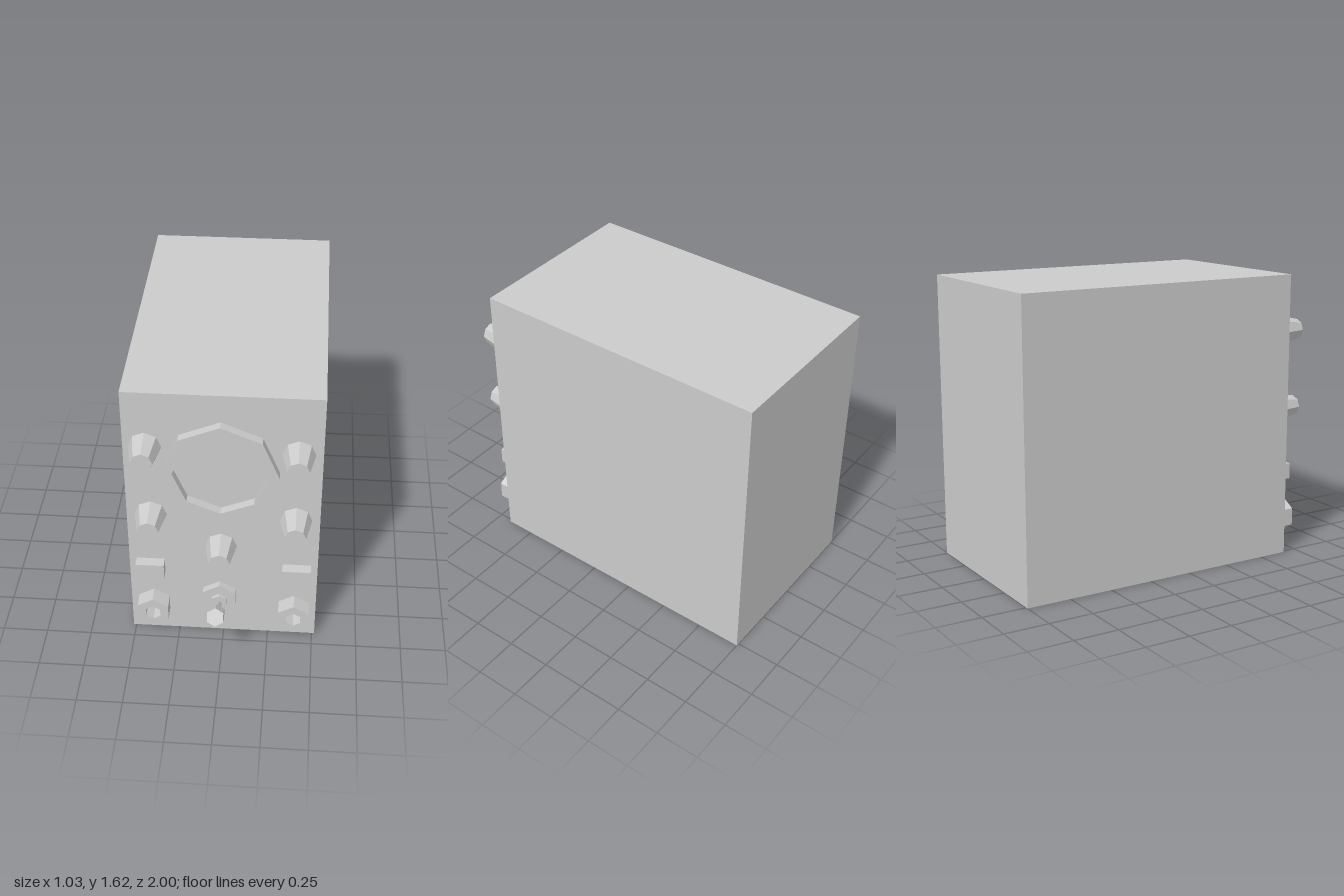
import * as THREE from 'three';

const FACE = 0.665; // z of the front panel

export function createModel() {
  const model = new THREE.Group();
  const material = new THREE.MeshStandardMaterial({ color: 0xcccccc, flatShading: true });

  const add = (name, geometry, x, y, z) => {
    const mesh = new THREE.Mesh(geometry, material);
    mesh.name = name;
    mesh.position.set(x, y, z);
    model.add(mesh);
    return mesh;
  };

  // Faceted cylinder standing on the front panel, pointing to +z
  const stud = (name, x, y, rFront, rBack, depth, sides) => {
    const g = new THREE.CylinderGeometry(rFront, rBack, depth, sides).rotateX(Math.PI / 2);
    return add(name, g, x, y, FACE + depth / 2);
  };

  // Regular polygon with one corner pointing up
  const polygon = (radius, sides, PathType) => {
    const points = [];
    for (let i = 0; i < sides; i++) {
      const a = Math.PI / 2 + (i / sides) * Math.PI * 2;
      points.push(new THREE.Vector2(radius * Math.cos(a), radius * Math.sin(a)));
    }
    return new PathType(points);
  };

  // Polygonal ring raised from the front panel
  const ring = (name, x, y, outer, inner, depth, sides) => {
    const shape = polygon(outer, sides, THREE.Shape);
    shape.holes.push(polygon(inner, sides, THREE.Path));
    return add(name, new THREE.ExtrudeGeometry(shape, { depth, bevelEnabled: false }), x, y, FACE);
  };

  // Cabinet
  add('cabinet', new THREE.BoxGeometry(1.03, 1.615, FACE + 1), 0, 0.8075, (FACE - 1) / 2);

  // Round screen frame
  ring('screenFrame', -0.01, 1.15, 0.305, 0.25, 0.05, 8);

  // Tapered control knobs
  const knobs = [[-0.4, 1.285], [0.39, 1.272], [-0.385, 0.835], [0.387, 0.835], [-0.012, 0.632]];
  knobs.forEach(([x, y]) => stud('knob', x, y, 0.057, 0.086, 0.145, 8));

  // Push buttons
  for (const x of [-0.398, 0.4]) {
    add('button', new THREE.BoxGeometry(0.155, 0.09, 0.06), x, 0.472, FACE + 0.03);
  }

  // Hexagonal sockets
  ring('socket', -0.387, 0.19, 0.098, 0.046, 0.09, 6);
  ring('socket', 0.393, 0.187, 0.098, 0.046, 0.09, 6);

  // Toggle switch: nut, collar, and a lever tilted upward
  const sx = -0.021;
  stud('switchNut', sx, 0.265, 0.104, 0.104, 0.04, 6);
  stud('switchCollar', sx, 0.265, 0.046, 0.046, 0.06, 6);

  const lever = new THREE.Group();
  lever.name = 'switchLever';
  lever.position.set(sx, 0.377, 0.938);
  lever.rotation.x = Math.PI / 3;
  const tip = new THREE.Mesh(new THREE.CylinderGeometry(0.05, 0.05, 0.092, 6), material);
  tip.name = 'switchTip';
  const stem = new THREE.Mesh(new THREE.CylinderGeometry(0.016, 0.016, 0.27, 6), material);
  stem.name = 'switchStem';
  stem.position.y = -0.135;
  lever.add(tip, stem);
  model.add(lever);

  return model;
}
